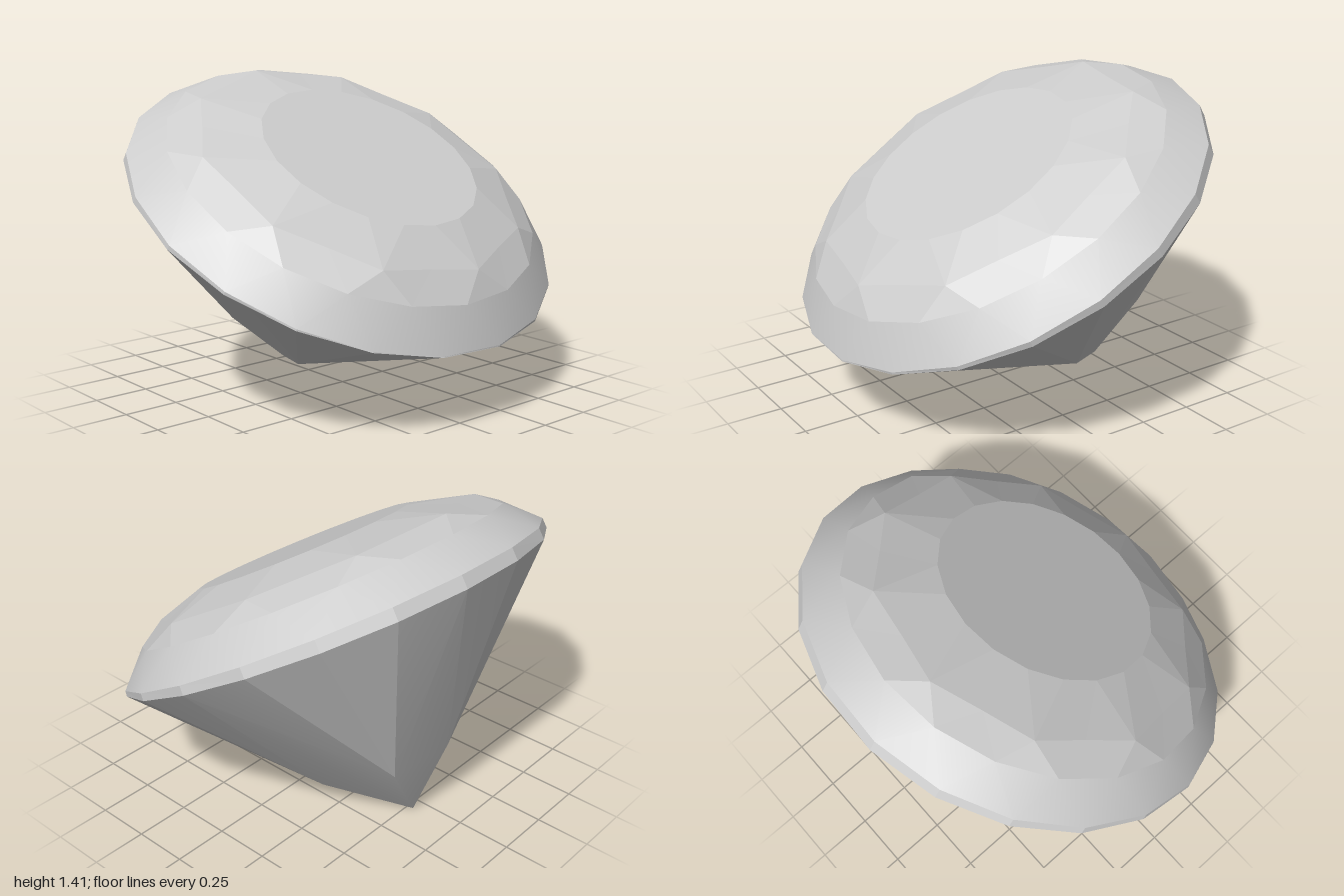
import * as THREE from 'three';
import { toCreasedNormals } from 'three/addons/utils/BufferGeometryUtils.js';
import { ConvexGeometry } from 'three/addons/geometries/ConvexGeometry.js';

const SIDES = 20, STEP = (Math.PI * 2) / SIDES, START = 0.11;

// Ring of points; shift is in facet steps, and the crown leans up toward the back by `lean`.
function ring(radius, height, shift = 0, lean = 0, cx = 0, cz = 0, zigzag = 0) {
  return Array.from({ length: SIDES }, (_, i) => {
    const a = START + (i + shift) * STEP;
    const r = radius + (i % 2 ? zigzag : -zigzag);
    const x = cx + r * Math.sin(a), z = cz + r * Math.cos(a);
    return new THREE.Vector3(x, height + lean * (1 - z) + lean * 0.3 * x, z);
  });
}

// Triangles between two rings; the upper one is either aligned or half a step ahead.
function band(lower, upper) {
  const tris = [];
  for (let i = 0; i < SIDES; i++) {
    const j = (i + 1) % SIDES;
    tris.push(lower[i], lower[j], upper[i], lower[j], upper[j], upper[i]);
  }
  return tris;
}

function surface(points) {
  const g = new THREE.BufferGeometry().setFromPoints(points);
  g.computeVertexNormals();
  return g;
}

export function createModel() {
  const model = new THREE.Group();
  model.name = 'cutGem';
  const gem = new THREE.Group();
  gem.name = 'tiltedGem';
  gem.position.y = 0.82;
  gem.rotation.x = 0.511;
  model.add(gem);

  const material = new THREE.MeshStandardMaterial({ color: 0xcccccc });
  const add = (name, geometry) => {
    const mesh = new THREE.Mesh(geometry, material);
    mesh.name = name;
    gem.add(mesh);
  };

  const lean = 0.027;
  const girdleLow = ring(0.998, 0);
  const girdleHigh = ring(0.995, 0.004, 0, lean);
  const crownOuter = ring(0.86, 0.14, 0.5, lean);
  const crownInner = ring(0.735, 0.213, 1, lean, 0, 0, 0.02);
  const tableEdge = ring(0.5, 0.283, 1.5, lean, 0.01, 0.03);

  // Girdle: thin edge that widens toward the back
  add('girdle', surface(band(girdleLow, girdleHigh)));

  // Crown: soft outer slope and crisp star facets
  add('crownSlope', toCreasedNormals(surface(band(girdleHigh, crownOuter)), 0.25));
  add('starFacets', surface([...band(crownOuter, crownInner), ...band(crownInner, tableEdge)]));

  // Table: flat top
  const centre = tableEdge.reduce((s, p) => s.add(p), new THREE.Vector3()).divideScalar(SIDES);
  add('table', surface(tableEdge.flatMap((p, i) => [p, tableEdge[(i + 1) % SIDES], centre])));

  // Pavilion: off-centre cone with a few raised ridges near the tip
  const tip = new THREE.Vector3(0.06, -0.975, -0.06);
  const ridges = [-0.6, 0.95, 2.35, 3.35, 4.45].map((a, i) => {
    const r = i === 3 ? 0.3 : 0.34;
    return new THREE.Vector3(0.043 + r * Math.sin(a), -0.715, -0.043 + r * Math.cos(a));
  });
  add('pavilion', toCreasedNormals(new ConvexGeometry([...girdleLow, ...ridges, tip]), 0.22));

  return model;
}
